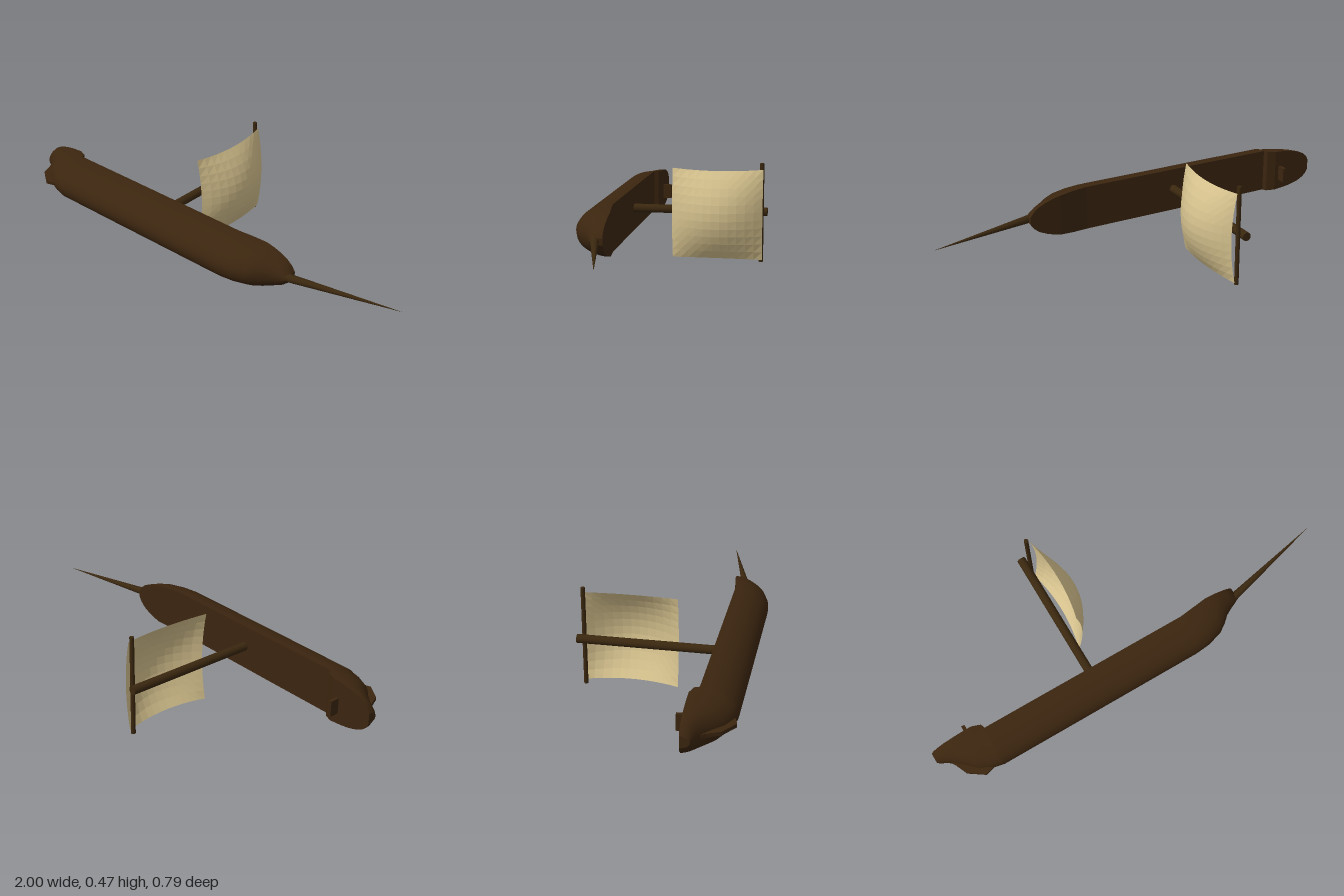
import * as THREE from 'three';

const CY = 0.229; // centre line of the hull, which lies on its side with the keel to +z

const material = (name, color, side = THREE.FrontSide) => {
  const m = new THREE.MeshStandardMaterial({ color, side });
  m.name = name;
  return m;
};

// Skin through rows of points that all have the same count
function loft(rows, flat) {
  const n = rows[0].length, index = [];
  for (let i = 0; i < rows.length - 1; i++) {
    for (let j = 0; j < n - 1; j++) {
      const a = i * n + j;
      index.push(a, a + 1, a + n, a + 1, a + n + 1, a + n);
    }
  }
  let g = new THREE.BufferGeometry();
  g.setAttribute('position', new THREE.Float32BufferAttribute(rows.flat(2), 3));
  g.setIndex(index);
  if (flat) g = g.toNonIndexed();
  g.computeVertexNormals();
  return g;
}

export function createModel() {
  const group = new THREE.Group();
  const wood = material('dark wood', 0x3b250f);
  const spar = material('spar wood', 0x3a270f);
  const cloth = material('sail cloth', 0xd6c28e, THREE.DoubleSide);
  const add = (name, geometry, mat) => {
    const mesh = new THREE.Mesh(geometry, mat);
    mesh.name = name;
    group.add(mesh);
    return mesh;
  };

  // Hull stations: x, half width, deck z, keel z
  const stations = [
    [-1, 0.025, 0.2, 0.24], [-0.99, 0.045, 0.2, 0.247], [-0.97, 0.063, 0.2, 0.257],
    [-0.94, 0.078, 0.2, 0.275], [-0.9, 0.089, 0.2, 0.31], [-0.86, 0.096, 0.2, 0.35],
    [-0.8, 0.101, 0.2, 0.38], [-0.76, 0.103, 0.215, 0.388], [-0.752, 0.103, 0.235, 0.39],
    [-0.4, 0.104, 0.235, 0.39], [0, 0.104, 0.235, 0.39], [0.23, 0.104, 0.235, 0.39],
    [0.3, 0.102, 0.226, 0.383], [0.37, 0.096, 0.216, 0.362], [0.41, 0.087, 0.215, 0.335],
    [0.44, 0.077, 0.215, 0.308], [0.48, 0.059, 0.215, 0.287], [0.505, 0.038, 0.215, 0.276],
    [0.52, 0.015, 0.215, 0.268],
  ];
  const ARC = 24;
  const section = ([x, w, top, keel]) => Array.from({ length: ARC + 1 }, (_, j) => {
    const a = Math.PI * j / ARC;
    return [x, CY + w * Math.cos(a), top + (keel - top) * Math.sin(a)];
  });
  const sections = stations.map(section);
  add('hull', loft(sections), wood);
  add('deck', loft(stations.map(([x, w, top]) => [[x, CY - w, top], [x, CY + w, top]]), true), wood);

  // Closed ends of the hull
  const last = stations.length - 1;
  const centre = ([x, , top]) => Array.from({ length: ARC + 1 }, () => [x, CY, top]);
  add('sternEnd', loft([centre(stations[0]), sections[0]], true), wood);
  add('bowEnd', loft([sections[last], centre(stations[last])], true), wood);

  // Rudder: thin plate under the stern
  const outline = [[-0.96, 0.25], [-0.935, 0.29], [-0.91, 0.345], [-0.84, 0.393], [-0.8, 0.382], [-0.8, 0.3], [-0.9, 0.25]];
  const rudder = new THREE.ExtrudeGeometry(
    new THREE.Shape(outline.map(([x, z]) => new THREE.Vector2(x, -z))), { depth: 0.016, bevelEnabled: false });
  rudder.rotateX(-Math.PI / 2);
  add('rudder', rudder, wood).position.y = CY - 0.008;

  // Small upright board on the stern deck
  add('helmBoard', new THREE.BoxGeometry(0.016, 0.072, 0.062), wood).position.set(-0.828, 0.214, 0.188);

  // Bowsprit: long tapering spike
  const from = new THREE.Vector3(0.45, CY, 0.265), to = new THREE.Vector3(1, CY, 0.135);
  const sprit = add('bowsprit', new THREE.ConeGeometry(0.021, from.distanceTo(to), 16), spar);
  sprit.position.copy(from).lerp(to, 0.5);
  sprit.quaternion.setFromUnitVectors(new THREE.Vector3(0, 1, 0), to.clone().sub(from).normalize());

  // Mast and yard
  const mast = add('mast', new THREE.CylinderGeometry(0.02, 0.02, 0.645, 20), spar);
  mast.rotation.x = -Math.PI / 2;
  mast.position.set(-0.23, 0.233, -0.0775);
  add('yard', new THREE.CylinderGeometry(0.01, 0.01, 0.465, 12), spar).position.set(-0.2, 0.2325, -0.375);

  // Sail: square sheet bellying towards the bow
  const N = 11, rows = [];
  for (let i = 0; i <= N; i++) {
    const s = 2 * i / N - 1, row = [];
    for (let j = 0; j <= N; j++) {
      const t = 2 * j / N - 1;
      const bs = 1 - s * s, bt = 1 - t * t;
      const x = -0.186 + 0.024 * bs + 0.026 * bt + 0.056 * bs * bt;
      row.push([x, 0.224 + s * (0.213 - 0.007 * bt), -0.17 + t * 0.212]);
    }
    rows.push(row);
  }
  add('sail', loft(rows, true), cloth);

  return group;
}
